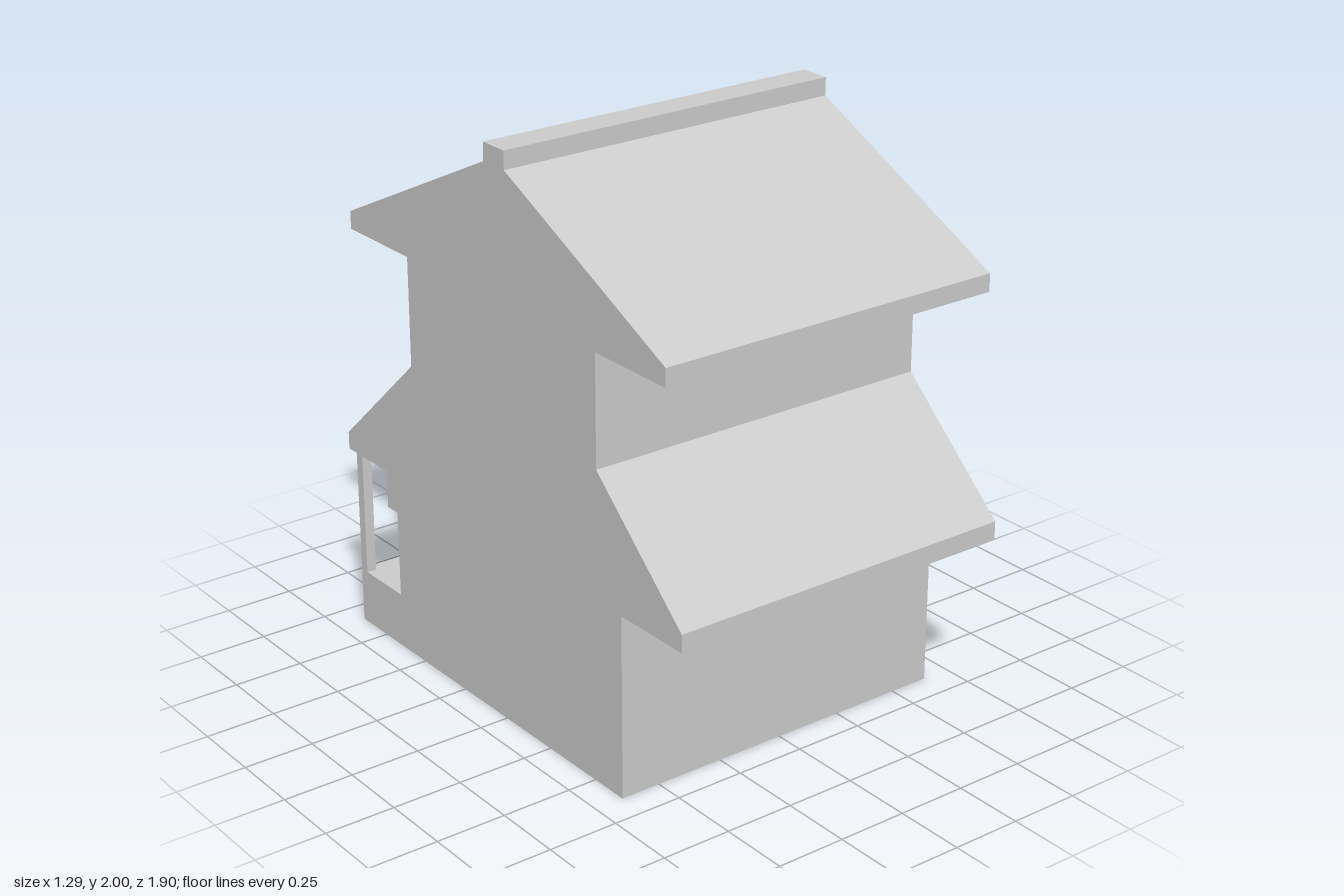
import * as THREE from 'three';

const HALF = 0.645;      // half width of the house along x
const BEAM_Y = 0.515;    // underside of the porch beam
const EAVE_Y = 0.65;     // underside of the lower roof
const FLOOR_Y = 0.2;     // porch floor
const WALL_Z = 0.645;    // ground floor wall, front and back
const PORCH_Z = -0.9;    // outer edge of the porch
const DOOR_X = 0.265;    // half width of the entrance
const DOOR_Z = -0.58;    // back of the entrance recess
const SILL_Y = 0.006;

const material = new THREE.MeshStandardMaterial({ color: 0xcccccc, flatShading: true });

const shapeOf = (points) => new THREE.Shape(points.map(([a, b]) => new THREE.Vector2(a, b)));

function addMesh(parent, name, geometry) {
  const mesh = new THREE.Mesh(geometry, material);
  mesh.name = name;
  parent.add(mesh);
}

// Box given by its limits on each axis
function addBox(parent, name, [x0, x1], [y0, y1], [z0, z1]) {
  const geometry = new THREE.BoxGeometry(x1 - x0, y1 - y0, z1 - z0);
  geometry.translate((x0 + x1) / 2, (y0 + y1) / 2, (z0 + z1) / 2);
  addMesh(parent, name, geometry);
}

// Side profile of (z, y) points, carried across the full width
function addProfile(parent, name, points) {
  const geometry = new THREE.ExtrudeGeometry(shapeOf(points), { depth: 2 * HALF, bevelEnabled: false });
  geometry.rotateY(-Math.PI / 2).translate(HALF, 0, 0);
  addMesh(parent, name, geometry);
}

export function createModel() {
  const house = new THREE.Group();
  house.name = 'house';

  // Upper storey, both roofs, ridge cap and the beam over the porch
  addProfile(house, 'upperStoreyAndRoofs', [
    [-0.705, BEAM_Y], [WALL_Z, BEAM_Y], [WALL_Z, EAVE_Y],
    [0.948, EAVE_Y], [0.948, 0.713], [0.52, 1.1], [0.52, 1.487],
    [0.868, 1.487], [0.868, 1.55], [0.056, 1.937], [0.056, 2],
    [-0.056, 2], [-0.056, 1.937], [-0.868, 1.55], [-0.868, 1.487],
    [-0.52, 1.487], [-0.52, 1.1], [-0.948, 0.713], [-0.948, EAVE_Y],
    [-0.705, EAVE_Y],
  ]);

  // Ground floor: plan of (x, -z) points with the entrance recess at the back
  const plan = shapeOf([
    [-HALF, -WALL_Z], [HALF, -WALL_Z], [HALF, WALL_Z], [DOOR_X, WALL_Z],
    [DOOR_X, -DOOR_Z], [-DOOR_X, -DOOR_Z], [-DOOR_X, WALL_Z], [-HALF, WALL_Z],
  ]);
  const groundFloor = new THREE.ExtrudeGeometry(plan, { depth: BEAM_Y - SILL_Y, bevelEnabled: false });
  groundFloor.rotateX(-Math.PI / 2).translate(0, SILL_Y, 0);
  addMesh(house, 'groundFloor', groundFloor);

  // Thin base slab, which is also the door sill
  addBox(house, 'baseSlab', [-HALF, HALF], [0, SILL_Y], [-WALL_Z, WALL_Z]);

  // Raised porch with two posts on each side of the entrance
  const post = 0.036;
  for (const [name, x0, x1] of [['leftPorch', DOOR_X, HALF], ['rightPorch', -HALF, -DOOR_X]]) {
    const porch = new THREE.Group();
    porch.name = name;
    addBox(porch, 'porchFloor', [x0, x1], [0, FLOOR_Y], [PORCH_Z, -WALL_Z]);
    for (const x of [x0, x1 - post]) {
      addBox(porch, 'porchPost', [x, x + post], [FLOOR_Y, EAVE_Y], [PORCH_Z, PORCH_Z + post]);
    }
    house.add(porch);
  }

  return house;
}
